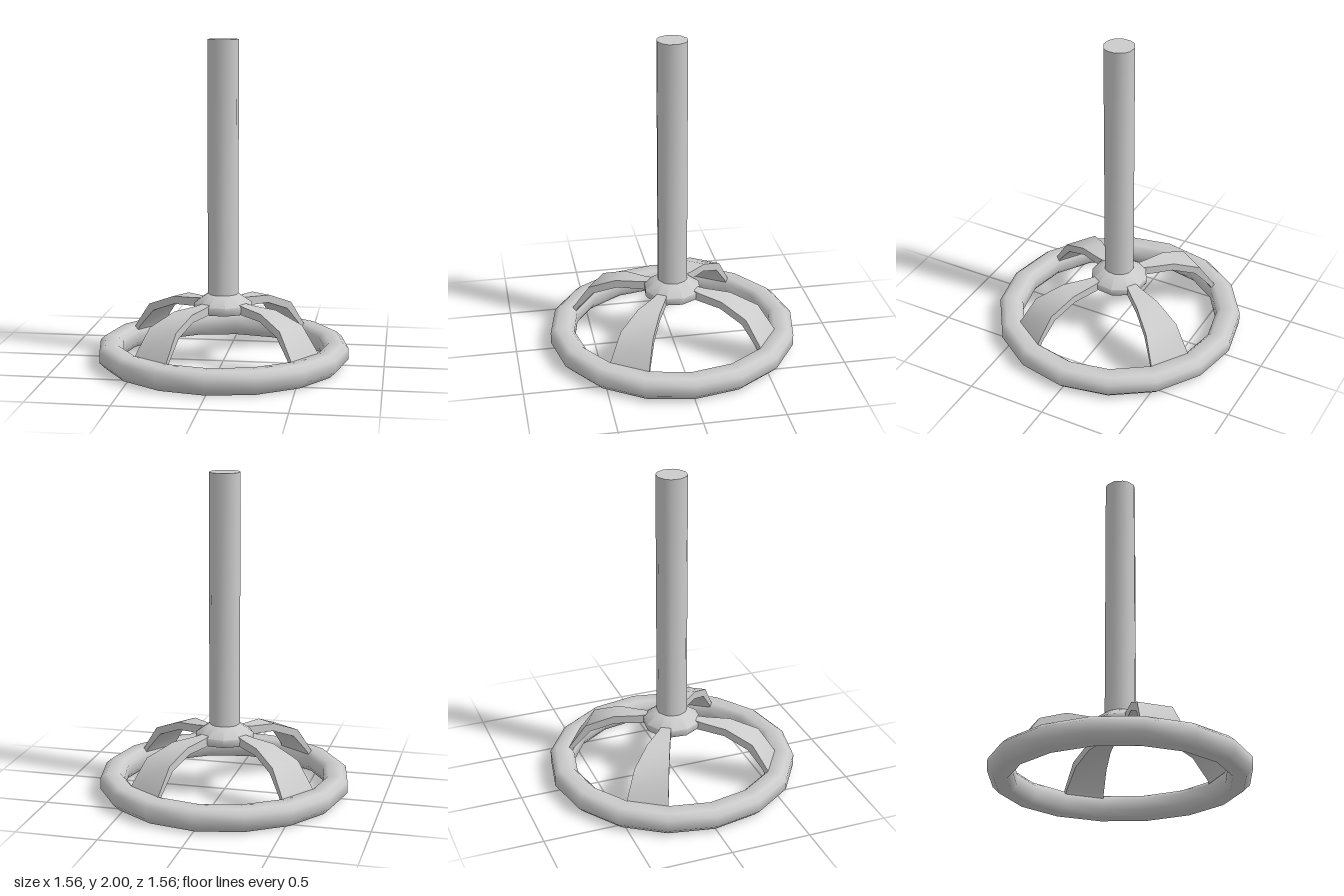
import * as THREE from 'three';
import { toCreasedNormals } from 'three/addons/utils/BufferGeometryUtils.js';

const CREASE = 0.95;
const rad = THREE.MathUtils.degToRad;
const polar = (deg, r, y) => [r * Math.cos(rad(deg)), y, -r * Math.sin(rad(deg))];

// Skin a series of closed loops, closing both ends with flat caps
function loft(loops) {
  const n = loops[0].length;
  const pos = [], index = [];
  loops.forEach((loop) => loop.forEach((p) => pos.push(...p)));
  for (let i = 0; i < loops.length - 1; i++) {
    for (let j = 0; j < n; j++) {
      const k = (j + 1) % n;
      const a = i * n + j, b = i * n + k, c = a + n, d = b + n;
      index.push(a, b, d, a, d, c);
    }
  }
  const last = (loops.length - 1) * n;
  for (let j = 1; j < n - 1; j++) {
    index.push(0, j + 1, j);
    index.push(last, last + j, last + j + 1);
  }
  const g = new THREE.BufferGeometry();
  g.setAttribute('position', new THREE.Float32BufferAttribute(pos, 3));
  g.setIndex(index);
  return toCreasedNormals(g.toNonIndexed(), CREASE);
}

export function createModel() {
  const group = new THREE.Group();
  const material = new THREE.MeshStandardMaterial({ color: 0xcccccc });
  const add = (name, geometry) => {
    const mesh = new THREE.Mesh(geometry, material);
    mesh.name = name;
    group.add(mesh);
    return mesh;
  };

  // Sixteen-sided rim with chamfered section
  const section = [
    [0.74, 0], [0.78, 0.04], [0.78, 0.11], [0.745, 0.14],
    [0.66, 0.14], [0.63, 0.11], [0.63, 0.04], [0.66, 0], [0.74, 0],
  ].map(([r, y]) => new THREE.Vector2(r, y));
  const rim = new THREE.LatheGeometry(section, 16);
  add('rim', toCreasedNormals(rim.toNonIndexed(), CREASE));

  // Hub flaring into the shaft; its corners line up with the spoke edges
  const angles = [];
  for (let q = 0; q < 4; q++) angles.push(45 + q * 90, 67.5 + q * 90, 101.25 + q * 90);
  const ring = (r, y) => angles.map((a) => polar(a, r, y));
  add('hub', loft([ring(0.17, 0.325), ring(0.18, 0.34), ring(0.18, 0.375), ring(0.095, 0.435)]));
  add('shaft', loft([ring(0.095, 0.42), ring(0.095, 2)]));

  // Four arched spokes that widen towards the rim: [top r, top y, under r, under y]
  const stations = [
    [0.14, 0.39, 0.14, 0.33],
    [0.21, 0.38, 0.19, 0.327],
    [0.37, 0.37, 0.36, 0.322],
    [0.55, 0.30, 0.52, 0.26],
    [0.66, 0.14, 0.625, 0.14],
    [0.68, 0.10, 0.645, 0.10],
  ];
  const spoke = loft(stations.map(([tr, ty, ur, uy]) => [
    polar(45, ur, uy), polar(67.5, ur, uy), polar(67.5, tr, ty), polar(45, tr, ty),
  ]));
  for (let q = 0; q < 4; q++) add('spoke', spoke).rotation.y = q * Math.PI / 2;

  return group;
}
